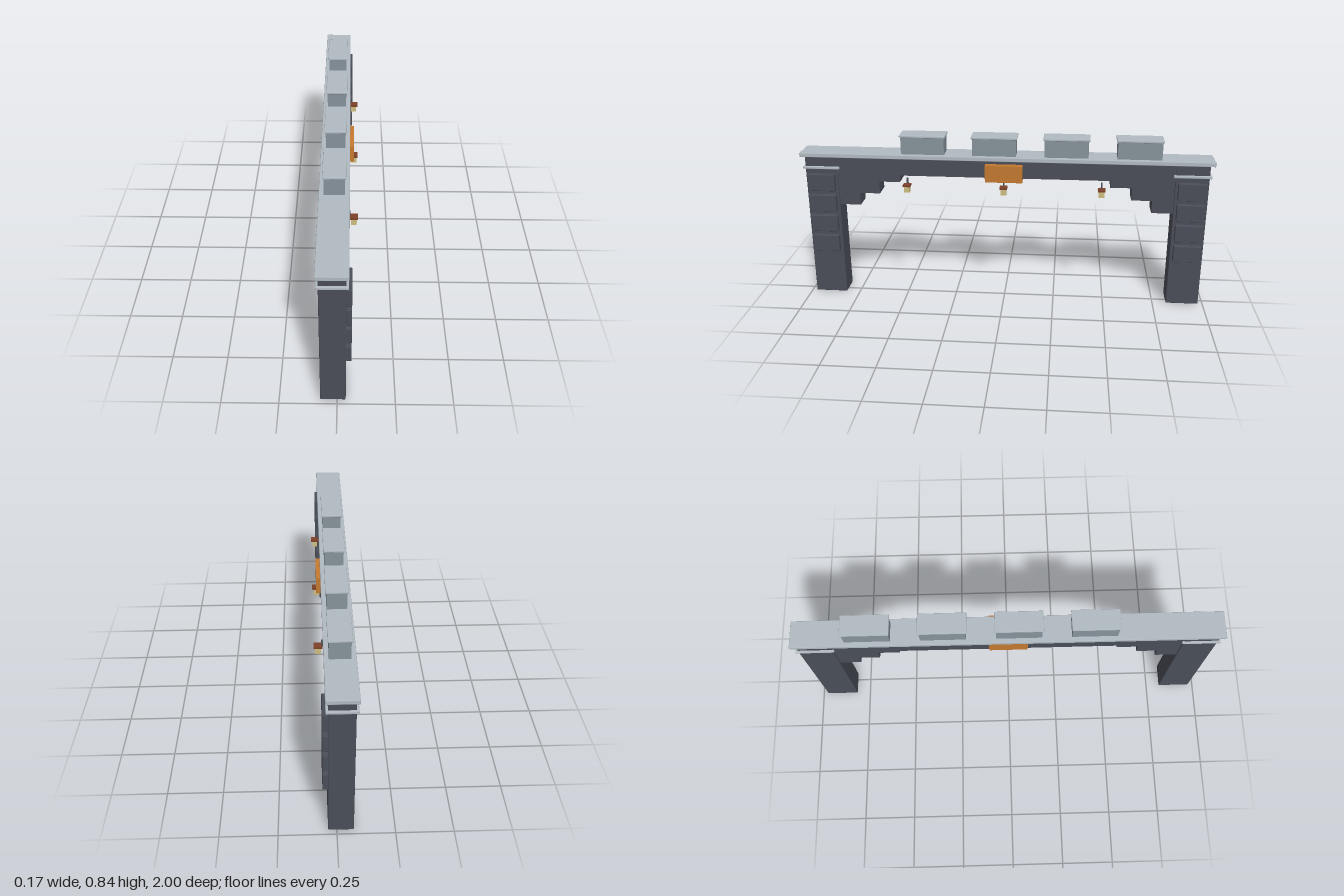
import * as THREE from 'three';
import { RoundedBoxGeometry } from 'three/addons/geometries/RoundedBoxGeometry.js';

const mat = (name, color) => {
  const m = new THREE.MeshStandardMaterial({ color });
  m.name = name;
  return m;
};

export function createModel() {
  const darkStone = mat('darkStone', 0x4a4e58);
  const paleStone = mat('paleStone', 0xb2bbc2);
  const greyStone = mat('greyStone', 0x87939c);
  const orange = mat('orangePaint', 0xc47a30);
  const brown = mat('lanternRoof', 0x7d4029);
  const glow = mat('lanternGlass', 0xcfbe80);
  const model = new THREE.Group();
  model.name = 'gateway';

  // Box given by its limits on each axis, with an optional small bevel
  const box = (parent, name, material, [x0, x1], [y0, y1], [z0, z1], bevel = 0) => {
    const size = [x1 - x0, y1 - y0, z1 - z0];
    const geometry = bevel
      ? new RoundedBoxGeometry(...size, 1, bevel)
      : new THREE.BoxGeometry(...size);
    const mesh = new THREE.Mesh(geometry, material);
    mesh.name = name;
    mesh.position.set((x0 + x1) / 2, (y0 + y1) / 2, (z0 + z1) / 2);
    parent.add(mesh);
    return mesh;
  };

  // Beam and the coping along its top
  box(model, 'beam', darkStone, [-0.072, 0.036], [0.64, 0.727], [-0.9, 0.9]);
  box(model, 'coping', paleStone, [-0.085, 0.048], [0.725, 0.746], [-1, 1], 0.003);

  // Pillars with moulding, raised blocks and stepped brackets, mirrored in z
  for (const s of [1, -1]) {
    const side = new THREE.Group();
    side.name = s > 0 ? 'frontSupport' : 'backSupport';
    model.add(side);
    const span = (a, b) => (s > 0 ? [a, b] : [-b, -a]);

    box(side, 'pillar', darkStone, [-0.073, 0.037], [0, 0.728], span(0.818, 0.977), 0.003);
    box(side, 'moulding', paleStone, [-0.083, 0.047], [0.665, 0.678], span(0.808, 0.987), 0.003);
    for (let i = 0; i < 4; i++) {
      const y = 0.235 + i * 0.107;
      box(side, 'raisedBlock', darkStone, [0.03, 0.06], [y, y + 0.085], span(0.832, 0.965), 0.003);
    }
    [[0.715, 0.82, 0.48], [0.615, 0.715, 0.542], [0.512, 0.615, 0.604]].forEach(([a, b, y]) =>
      box(side, 'bracketStep', darkStone, [-0.066, 0.03], [y, 0.645], span(a, b)));
  }

  // Row of capped battlements
  for (let i = 0; i < 4; i++) {
    const z = 0.396 - i * 0.347;
    box(model, 'battlement', greyStone, [-0.063, 0.027], [0.744, 0.832], [z - 0.105, z + 0.105]);
    box(model, 'battlementCap', paleStone, [-0.069, 0.032], [0.829, 0.84], [z - 0.111, z + 0.111], 0.003);
  }

  // Sign block through the middle of the beam
  box(model, 'sign', orange, [-0.075, 0.067], [0.627, 0.71], [-0.09, 0.09]);

  // Hanging lanterns
  for (const z of [-0.47, 0, 0.47]) {
    const lantern = new THREE.Group();
    lantern.name = 'lantern';
    lantern.position.z = z;
    model.add(lantern);
    box(lantern, 'hanger', darkStone, [0.042, 0.052], [0.602, 0.634], [-0.004, 0.004]);
    box(lantern, 'lanternRoof', brown, [0.047, 0.085], [0.598, 0.607], [-0.018, 0.018]);
    box(lantern, 'lanternBody', glow, [0.053, 0.079], [0.568, 0.599], [-0.014, 0.014]);
  }
  return model;
}
